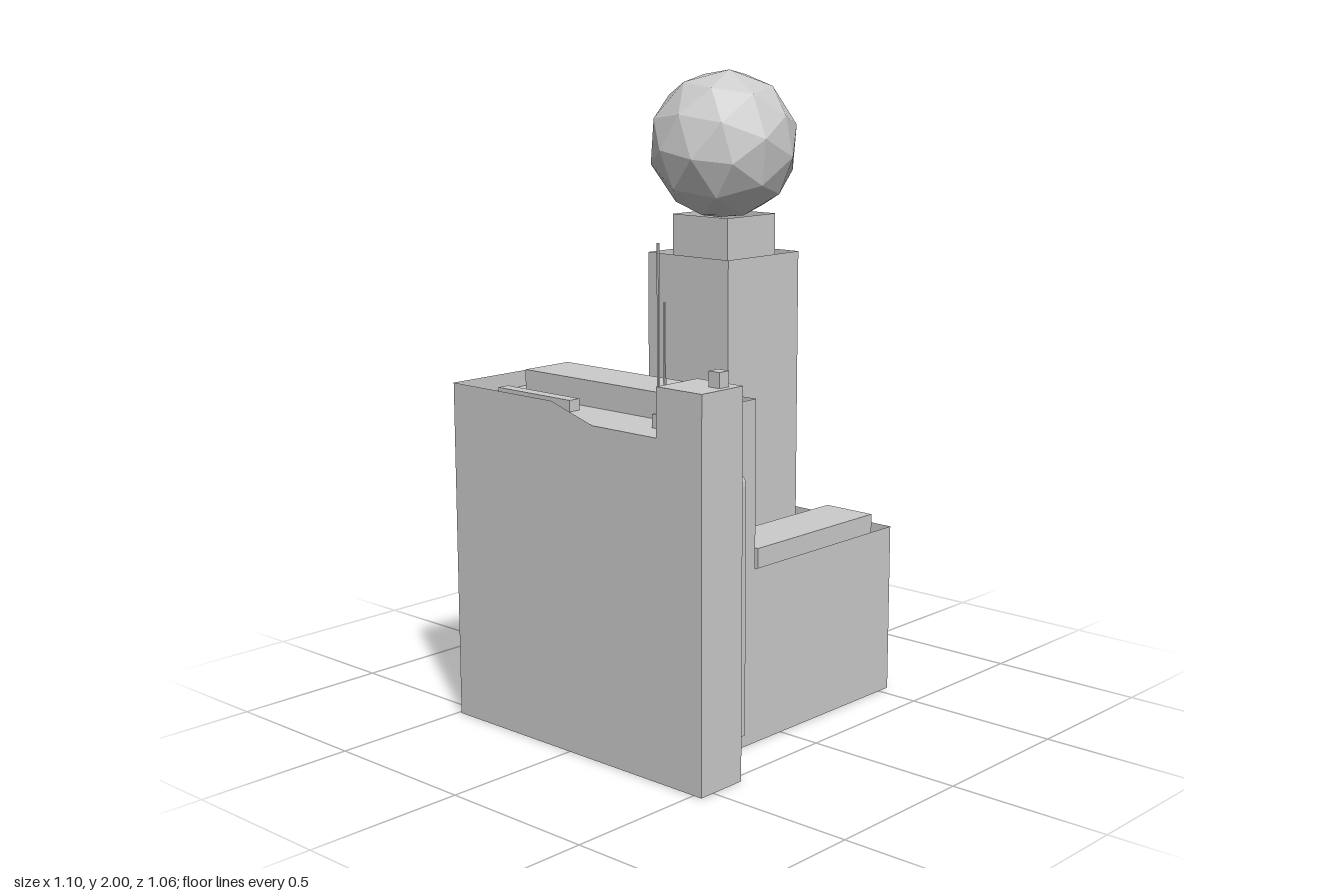
import * as THREE from 'three';

const material = new THREE.MeshStandardMaterial({ color: 0xcccccc, flatShading: true });
const openMaterial = new THREE.MeshStandardMaterial({ color: 0xcccccc, flatShading: true, side: THREE.DoubleSide });

function add(parent, name, geometry, mat = material) {
  const mesh = new THREE.Mesh(geometry, mat);
  mesh.name = name;
  parent.add(mesh);
  return mesh;
}

// Box given by its minimum and maximum on each axis
function box(parent, name, x0, x1, y0, y1, z0, z1) {
  const mesh = add(parent, name, new THREE.BoxGeometry(x1 - x0, y1 - y0, z1 - z0));
  mesh.position.set((x0 + x1) / 2, (y0 + y1) / 2, (z0 + z1) / 2);
  return mesh;
}

// Walls around a footprint of [x, z, wallTop] with a sunken flat roof and a base
function walledBlock(parent, name, footprint, baseY, roofY) {
  const p = [];
  footprint.forEach(([ax, az, at], i) => {
    const [bx, bz, bt] = footprint[(i + 1) % footprint.length];
    if (ax !== bx || az !== bz) {
      p.push(ax, baseY, az, bx, baseY, bz, bx, bt, bz, ax, baseY, az, bx, bt, bz, ax, at, az);
    }
    if (i > 0 && i < footprint.length - 1) {
      const [ox, oz] = footprint[0];
      p.push(ox, roofY, oz, ax, roofY, az, bx, roofY, bz);
      p.push(ox, baseY, oz, bx, baseY, bz, ax, baseY, az);
    }
  });
  const geometry = new THREE.BufferGeometry();
  geometry.setAttribute('position', new THREE.Float32BufferAttribute(p, 3));
  geometry.computeVertexNormals();
  add(parent, name, geometry, openMaterial);
}

const rectangle = (x0, x1, z0, z1, top) => [[x0, z1, top], [x1, z1, top], [x1, z0, top], [x0, z0, top]];

// Square duct on a wall, rounded at its outer top edge
function duct(parent, name, x, z, y0, y1, direction) {
  const depth = 0.042, width = 0.042, r = 0.035;
  const shape = new THREE.Shape();
  shape.moveTo(0, y0);
  shape.lineTo(depth, y0);
  shape.lineTo(depth, y1 - r);
  shape.quadraticCurveTo(depth, y1, depth - r, y1);
  shape.lineTo(0, y1);
  const geometry = new THREE.ExtrudeGeometry(shape, { depth: width, bevelEnabled: false, curveSegments: 4 });
  geometry.translate(0, 0, -width / 2);
  geometry.rotateY(-direction * Math.PI / 2);
  add(parent, name, geometry).position.set(x, 0, z);
}

export function createModel() {
  const model = new THREE.Group();
  model.name = 'building';

  // Main volumes
  walledBlock(model, 'lowBlock', rectangle(-0.125, 0.545, -0.49, 0.36, 0.545), 0, 0.5);
  walledBlock(model, 'tallBlock', [
    [-0.55, 0.36, 1.01], [-0.38, 0.36, 1.01], [-0.38, 0.36, 1.06], [-0.125, 0.36, 1.06],
    [-0.125, -0.49, 1.06], [-0.55, -0.49, 1.06], [-0.55, -0.06, 1.06], [-0.55, 0.11, 1.01],
  ], 0, 1.01);
  box(model, 'cornerTower', -0.55, -0.38, 0, 1.155, 0.36, 0.53);

  // Central tower carrying the globe
  walledBlock(model, 'globeTower', rectangle(0.04, 0.375, -0.23, 0.105, 1.43), 0.5, 1.39);
  walledBlock(model, 'towerNeck', rectangle(0.095, 0.322, -0.175, 0.053, 1.55), 1.39, 1.51);
  const globe = add(model, 'globe', new THREE.IcosahedronGeometry(0.236, 1));
  globe.position.set(0.208, 1.766, -0.063);
  globe.rotation.set(0.15, 0.3, 0.1);

  // Roof slabs and equipment
  box(model, 'frontRoofSlab', -0.07, 0.49, 0.5, 0.59, 0.145, 0.325);
  box(model, 'backRoofSlab', -0.07, 0.49, 0.5, 0.59, -0.45, -0.273);
  box(model, 'roofHousing', -0.36, -0.18, 1.01, 1.09, -0.373, 0.19);
  box(model, 'roofVent', -0.456, -0.416, 1.01, 1.045, -0.392, -0.08);
  box(model, 'mastBase', -0.456, -0.416, 1.01, 1.05, 0.255, 0.295);
  box(model, 'cornerTowerVent', -0.456, -0.416, 1.155, 1.2, 0.47, 0.51);
  for (const [z, top] of [[0.267, 1.535], [0.291, 1.37]]) {
    box(model, 'mast', -0.444, -0.438, 1.04, top, z - 0.003, z + 0.003);
  }

  // Windows on the inner side and the back of the tall block
  for (const y of [0.645, 0.775, 0.905]) {
    for (const z of [-0.45, -0.282, 0.145, 0.32]) {
      box(model, 'sideWindow', -0.13, -0.116, y, y + 0.082, z - 0.02, z + 0.02);
    }
    for (const x of [-0.34, -0.255]) {
      box(model, 'backWindow', x - 0.02, x + 0.02, y, y + 0.082, -0.499, -0.485);
    }
  }

  // Wall ducts
  duct(model, 'frontDuct', -0.237, 0.36, 0.06, 0.855, 1);
  duct(model, 'backDuct', -0.46, -0.49, 0.19, 0.98, -1);

  return model;
}
